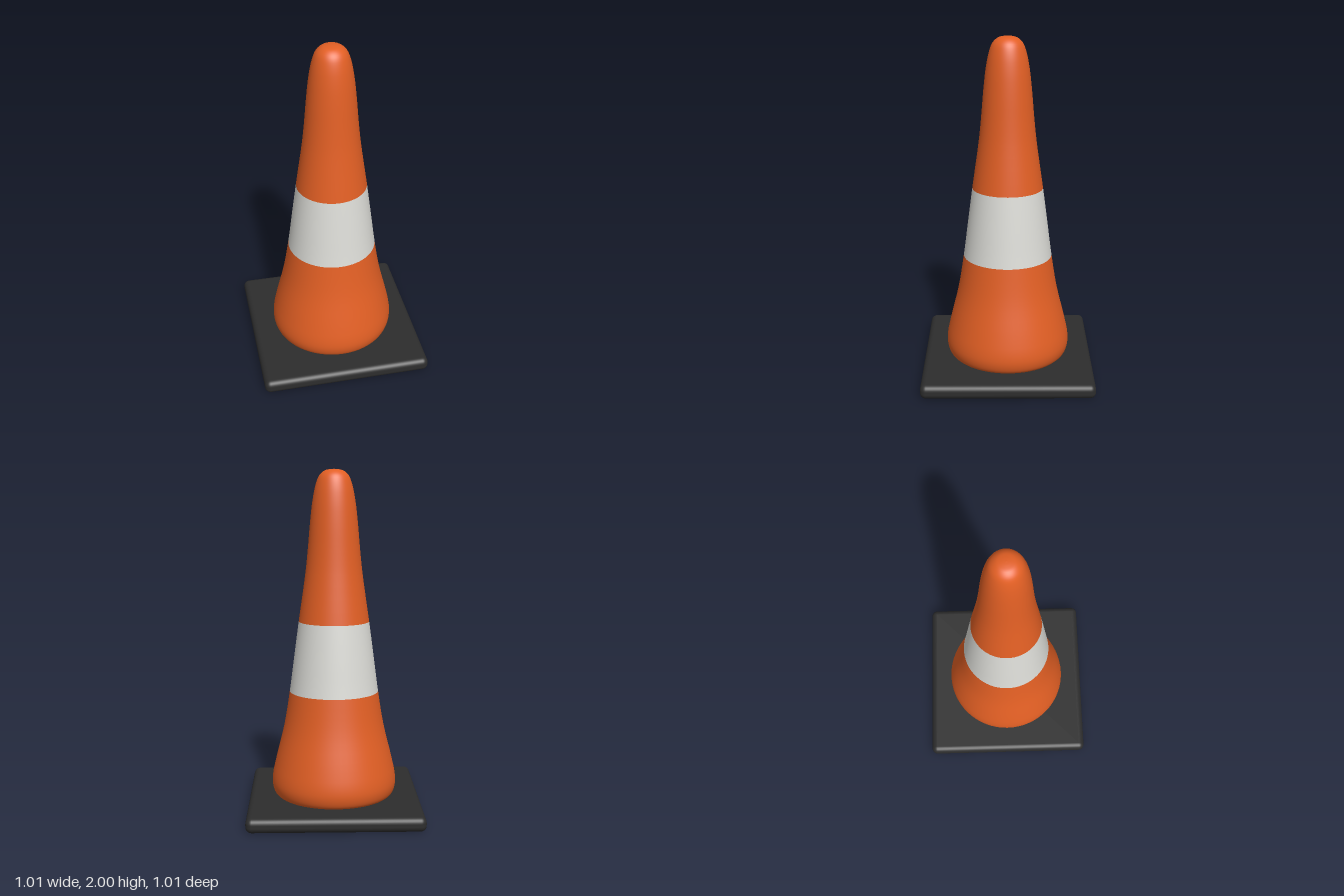
import * as THREE from 'three';
import { RoundedBoxGeometry } from 'three/addons/geometries/RoundedBoxGeometry.js';

function material(name, color) {
  const m = new THREE.MeshStandardMaterial({ color });
  m.name = name;
  return m;
}

export function createModel() {
  const orange = material('orange plastic', 0xe25f24);
  const white = material('reflective white', 0xdcdcd7);
  const black = material('black rubber', 0x2d2d2d);

  const group = new THREE.Group();
  group.name = 'trafficCone';
  const add = (name, geometry, mat) => {
    const mesh = new THREE.Mesh(geometry, mat);
    mesh.name = name;
    group.add(mesh);
    return mesh;
  };

  // Square rubber foot with rounded edges
  add('base', new RoundedBoxGeometry(1.01, 0.085, 1.01, 4, 0.035), black).position.y = 0.0425;

  // Outline of the cone from foot to tip: [radius, height]
  const outline = [
    [0.335, 0.08], [0.355, 0.1], [0.368, 0.145], [0.366, 0.2], [0.345, 0.3], [0.296, 0.5],
    [0.262, 0.705], [0.235, 0.91], [0.207, 1.12],
    [0.167, 1.4], [0.153, 1.53], [0.138, 1.7], [0.124, 1.82], [0.106, 1.91],
    [0.085, 1.963], [0.055, 1.99], [0.025, 1.998], [0, 2],
  ];
  const step = 4;
  const profile = new THREE.CatmullRomCurve3(outline.map(([r, y]) => new THREE.Vector3(r, y, 0)))
    .getPoints((outline.length - 1) * step)
    .map((p) => new THREE.Vector2(Math.max(p.x, 0), p.y));

  // Each colour band turns its own stretch of the outline
  const band = (name, from, to, mat) =>
    add(name, new THREE.LatheGeometry(profile.slice(from * step, to * step + 1), 64), mat);
  band('lowerCone', 0, 6, orange);
  band('reflectiveBand', 6, 8, white);
  band('upperCone', 8, outline.length - 1, orange);

  return group;
}
